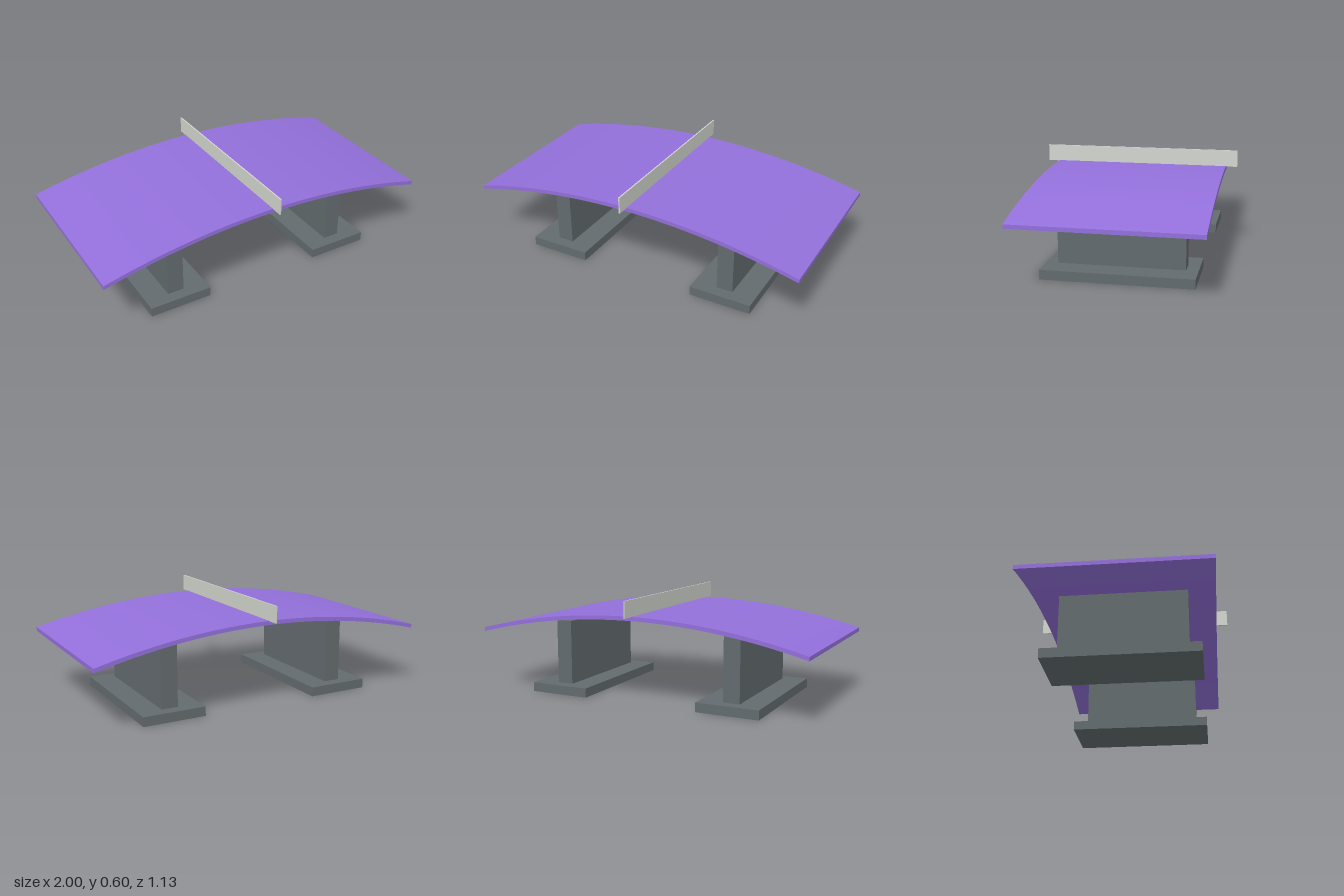
import * as THREE from 'three';

const purple = new THREE.MeshStandardMaterial({ color: 0x9370db });
purple.name = 'purple';
const darkGrey = new THREE.MeshStandardMaterial({ color: 0x636b6e });
darkGrey.name = 'darkGrey';
const lightGrey = new THREE.MeshStandardMaterial({ color: 0xd3d7cf });
lightGrey.name = 'lightGrey';

function box(name, material, [w, h, d], [x, bottom, z]) {
  const mesh = new THREE.Mesh(new THREE.BoxGeometry(w, h, d), material);
  mesh.name = name;
  mesh.position.set(x, bottom + h / 2, z);
  return mesh;
}

export function createModel() {
  const table = new THREE.Group();
  table.name = 'curvedTable';

  // Arched top: a thin slab whose height falls off along a shallow circular arc
  const thickness = 0.023, crown = 0.507, drop = 0.129;
  const radius = (1 + drop * drop) / (2 * drop);
  const slab = new THREE.BoxGeometry(2, thickness, 1, 32, 1, 1);
  const pos = slab.attributes.position;
  for (let i = 0; i < pos.count; i++) {
    const x = pos.getX(i);
    const sag = radius - Math.sqrt(radius * radius - x * x);
    pos.setY(i, pos.getY(i) + crown - thickness / 2 - sag);
  }
  slab.computeVertexNormals();
  const top = new THREE.Mesh(slab, purple);
  top.name = 'tableTop';
  table.add(top);

  // Net plate overhanging both long edges
  table.add(box('net', lightGrey, [0.008, 0.095, 1.13], [0, 0.505, 0]));

  // Two supports, each a post on a flat foot
  for (const [side, label] of [[1, 'left'], [-1, 'right']]) {
    const support = new THREE.Group();
    support.name = label + 'Support';
    support.add(box(label + 'Foot', darkGrey, [0.365, 0.054, 0.834], [side * 0.532, 0, 0]));
    support.add(box(label + 'Post', darkGrey, [0.096, 0.376, 0.7], [side * 0.532, 0.054, 0]));
    table.add(support);
  }

  return table;
}
